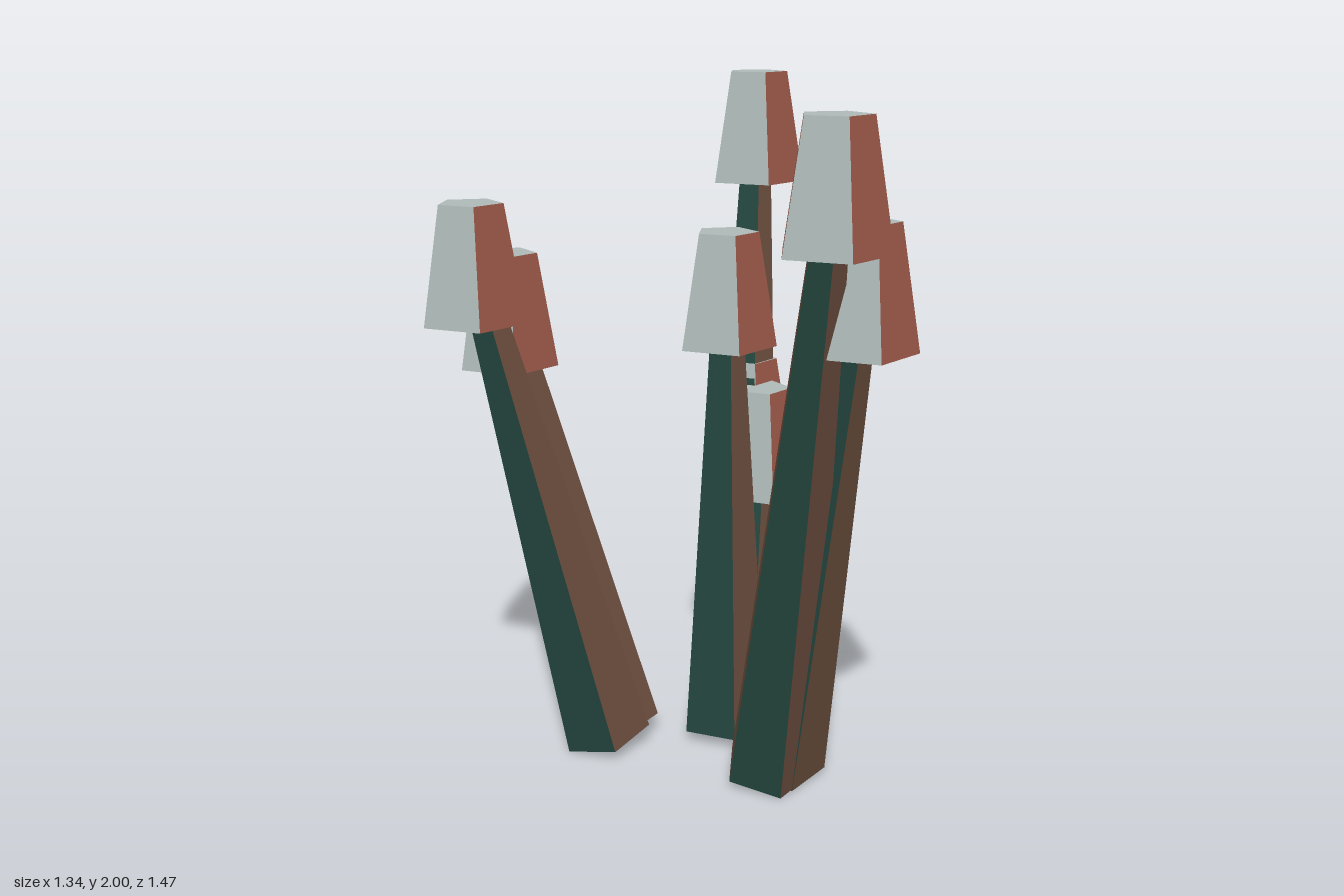
import * as THREE from 'three';

const mat = (name, color) => {
  const m = new THREE.MeshStandardMaterial({ color });
  m.name = name;
  return m;
};

// Five-sided frustum with one corner on +x. Material 0: outer and bottom faces,
// material 1: front and back faces and the top.
function pentagon(rTop, rBottom, height) {
  const g = new THREE.CylinderGeometry(rTop, rBottom, height, 5, 1, false, Math.PI / 2).toNonIndexed();
  g.computeVertexNormals();
  g.clearGroups();
  [0, 1, 0, 1, 0].forEach((m, i) => g.addGroup(i * 6, 6, m));
  g.addGroup(30, 15, 1);
  g.addGroup(45, 15, 0);
  return g;
}

const CAP_H = 0.335;
const BASE_Y = 0.036;

// [stem base x, z, cap underside x, y, z]
const MUSHROOMS = [
  [0.18, -0.20, 0.207, 1.665, -0.588],
  [0.293, 0.197, 0.432, 1.625, 0.592],
  [0.326, 0.153, 0.514, 1.352, 0.450],
  [-0.208, 0.010, -0.551, 1.345, 0.137],
  [-0.188, -0.066, -0.503, 1.170, -0.101],
  [0.146, -0.091, 0.142, 1.238, -0.111],
  [0.19, -0.18, 0.243, 0.725, -0.322],
  [0.178, -0.255, 0.193, 0.790, -0.440],
];

export function createModel() {
  const model = new THREE.Group();
  model.name = 'mushroomCluster';

  const capColours = [mat('rustRed', 0xa05a4b), mat('paleGrey', 0xaebab9)];
  const stemColours = [mat('barkBrown', 0x6d4f3f), mat('darkGreen', 0x24453e)];
  const capGeometry = pentagon(0.094, 0.15, CAP_H);
  const up = new THREE.Vector3(0, 1, 0);

  for (const [bx, bz, cx, cy, cz] of MUSHROOMS) {
    const mushroom = new THREE.Group();
    mushroom.name = 'mushroom';

    // Upright cap
    const cap = new THREE.Mesh(capGeometry, capColours);
    cap.name = 'cap';
    cap.position.set(cx, cy + CAP_H / 2, cz);

    // Leaning stem that ends inside the cap
    const base = new THREE.Vector3(bx, BASE_Y, bz);
    const axis = cap.position.clone().sub(base);
    const stem = new THREE.Mesh(pentagon(0.045, 0.135, axis.length()), stemColours);
    stem.name = 'stem';
    stem.position.copy(base).addScaledVector(axis, 0.5);
    stem.quaternion.setFromUnitVectors(up, axis.clone().normalize());

    mushroom.add(cap, stem);
    model.add(mushroom);
  }
  return model;
}
